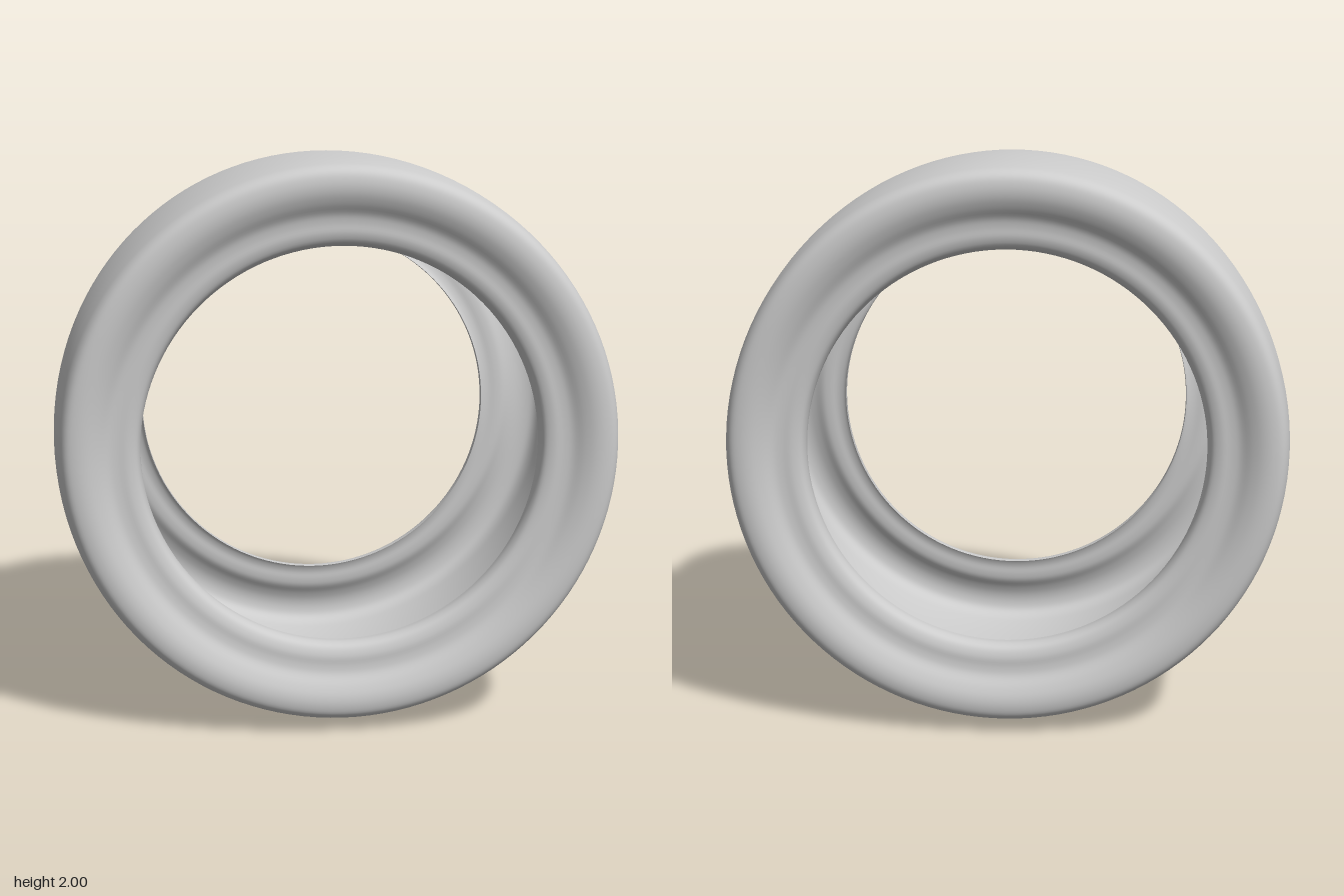
import * as THREE from 'three';

export function createModel() {
  const group = new THREE.Group();
  const material = new THREE.MeshStandardMaterial({ color: 0xcccccc, side: THREE.DoubleSide });

  // Half profile (radius, distance from centre plane): bead lip, sidewall, shoulder, crown
  const half = [
    [0.688, 0.485], [0.688, 0.515], [0.7, 0.543], [0.73, 0.556], [0.765, 0.557],
    [0.795, 0.563], [0.83, 0.583], [0.865, 0.596], [0.9, 0.598], [0.932, 0.588],
    [0.952, 0.56], [0.964, 0.51], [0.978, 0.41], [0.991, 0.26], [0.998, 0.12],
  ];
  const points = [
    ...half.map(([r, z]) => new THREE.Vector2(r, -z)),
    new THREE.Vector2(1, 0),
    ...half.slice().reverse().map(([r, z]) => new THREE.Vector2(r, z)),
  ];
  const profile = new THREE.SplineCurve(points).getPoints(120);

  // Hollow carcass, open towards the wheel hole
  const geometry = new THREE.LatheGeometry(profile, 128);
  geometry.rotateX(Math.PI / 2);
  const tire = new THREE.Mesh(geometry, material);
  tire.name = 'tire';
  tire.position.y = 1;
  group.add(tire);

  return group;
}
